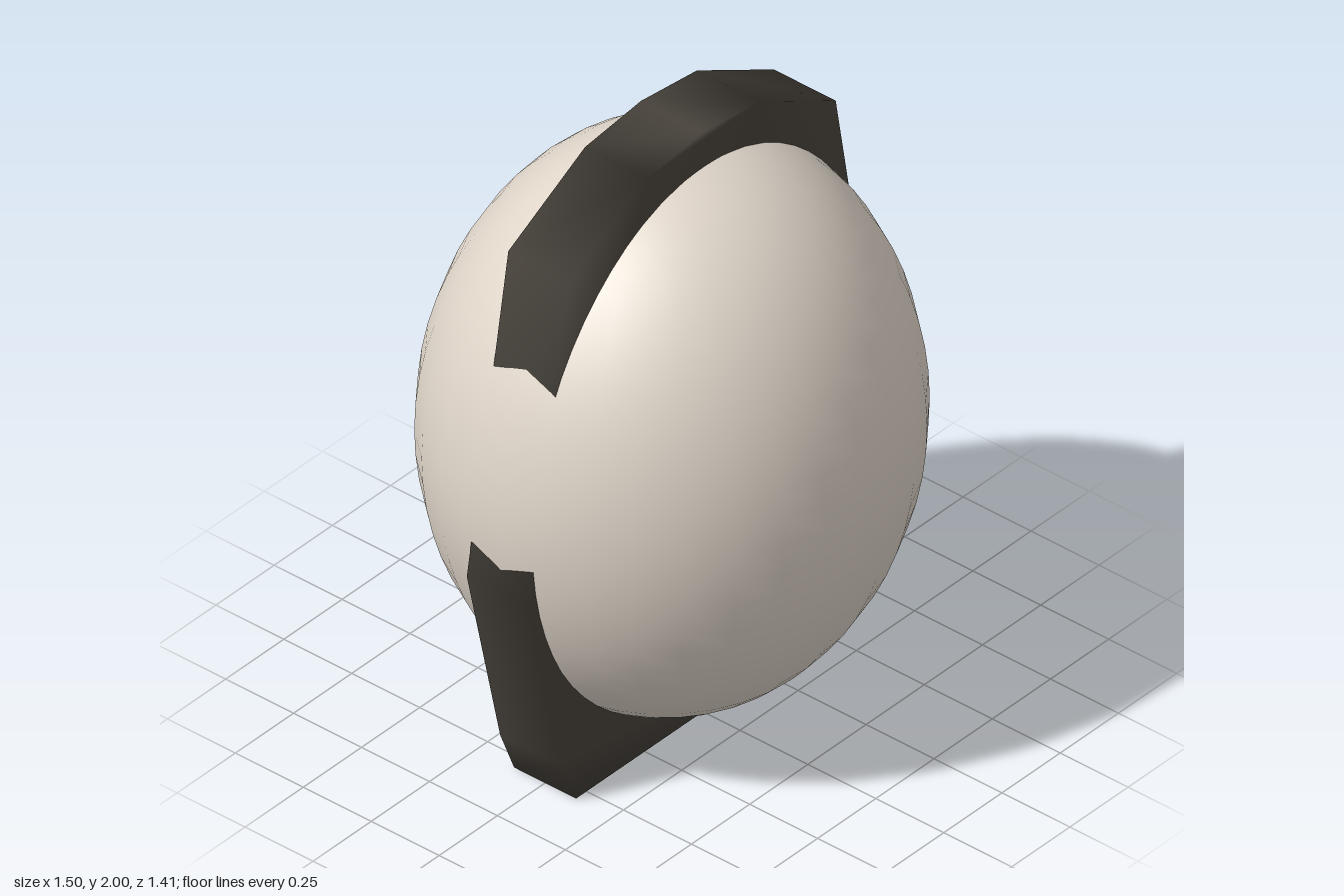
import * as THREE from 'three';
import { mergeVertices } from 'three/addons/utils/BufferGeometryUtils.js';

export function createModel() {
  const model = new THREE.Group();

  // Pale egg-shaped body
  const bodyGeometry = new THREE.SphereGeometry(1, 32, 32);
  bodyGeometry.scale(0.745, 0.914, 0.703);
  const body = new THREE.Mesh(bodyGeometry, new THREE.MeshStandardMaterial({ color: 0xe0d6ca }));
  body.name = 'body';
  body.position.y = 0.977;
  model.add(body);

  // Dark angular band around the middle, mirrored from its +x half (bottom to top)
  const half = [[0.545, 0], [0.605, 0.145], [0.748, 0.77], [0.57, 1.795], [0.24, 1.973]];
  const outline = [...half, [0, 2], ...half.map(([x, y]) => [-x, y]).reverse()];
  const shape = new THREE.Shape(outline.map(([x, y]) => new THREE.Vector2(x, y)));
  const depth = 0.228;
  let bandGeometry = new THREE.ExtrudeGeometry(shape, { depth, bevelEnabled: false });
  bandGeometry.translate(0, 0, -depth / 2);

  // Shared vertices give the band its soft shading
  bandGeometry.deleteAttribute('uv');
  bandGeometry.deleteAttribute('normal');
  bandGeometry = mergeVertices(bandGeometry);
  bandGeometry.computeVertexNormals();
  const band = new THREE.Mesh(bandGeometry, new THREE.MeshStandardMaterial({ color: 0x48433c }));
  band.name = 'band';
  model.add(band);

  return model;
}
